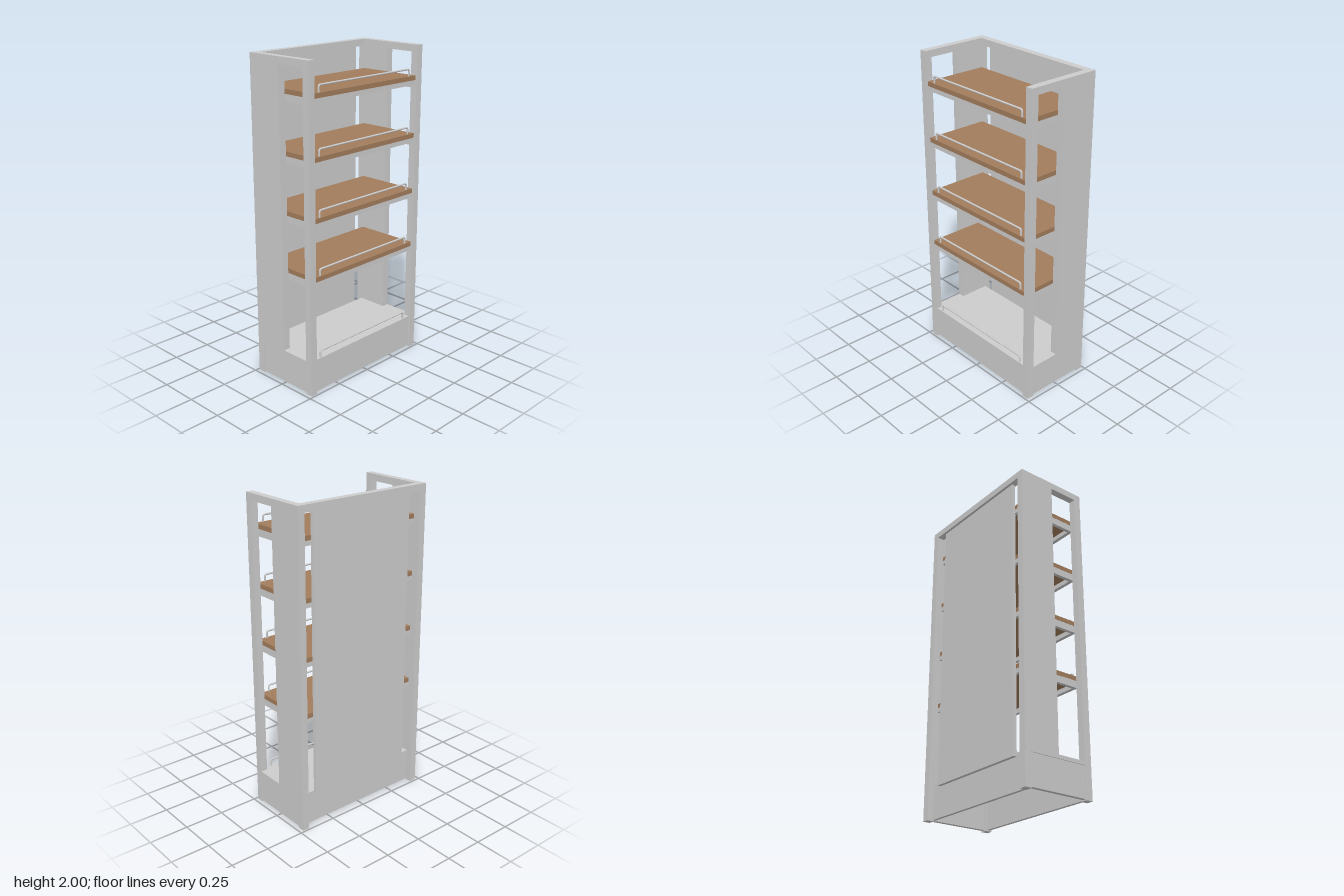
import * as THREE from 'three';

export function createModel() {
  const group = new THREE.Group();
  const grey = new THREE.MeshStandardMaterial({ color: 0xcccccc });
  const wood = new THREE.MeshStandardMaterial({ color: 0xa17c5c });

  // Box given by its minimum and maximum on each axis
  function box(name, [x0, x1], [y0, y1], [z0, z1], material = grey) {
    const mesh = new THREE.Mesh(new THREE.BoxGeometry(x1 - x0, y1 - y0, z1 - z0), material);
    mesh.position.set((x0 + x1) / 2, (y0 + y1) / 2, (z0 + z1) / 2);
    mesh.name = name;
    group.add(mesh);
  }

  const W = 0.475, IN = 0.43;   // outer and inner half width
  const D = 0.238, ID = 0.192;  // outer and inner half depth
  const H = 2, RAIL = 1.957;    // top and underside of the top rails
  const BASE = 0.197, FLOOR = 0.22;
  const FRONT = 0.227;          // front edge of the shelves

  // Side frames, mirrored
  for (const s of [-1, 1]) {
    const side = (a, b) => (s > 0 ? [a, b] : [-b, -a]);
    box('frontPost', side(IN, W), [0, H], [ID, D]);
    box('rearPost', side(IN, W), [0, H], [-D, -ID]);
    box('topSideRail', side(IN, W), [RAIL, H], [-ID, ID]);
    box('sidePanel', side(IN, W), [FLOOR, RAIL], [-ID, 0]);
    box('floorSideRail', side(IN, W), [BASE, FLOOR], [-ID, ID]);
    box('sidePlinth', side(0.445, 0.47), [0.007, BASE], [-ID, ID]);
  }

  // Back of the frame
  box('topBackRail', [-IN, IN], [RAIL, H], [-D, -ID]);
  box('backPanel', [-0.36, 0.36], [BASE, RAIL], [-0.222, -0.2]);

  // Hollow base, open underneath
  box('frontPlinth', [-IN, IN], [0.007, BASE], [0.204, 0.224]);
  box('backPlinth', [-IN, IN], [0.007, BASE], [-0.2, -0.18]);
  box('floorShelf', [-IN, IN], [BASE, FLOOR], [-0.2, FRONT]);

  // Guard rail: a tube path with rounded corners
  const railX = 0.379, railY = 0.042, r = 0.014;
  const v = (x, y) => new THREE.Vector3(x, y, 0);
  const path = new THREE.CurvePath();
  path.add(new THREE.LineCurve3(v(-railX, 0), v(-railX, railY - r)));
  path.add(new THREE.QuadraticBezierCurve3(v(-railX, railY - r), v(-railX, railY), v(-railX + r, railY)));
  path.add(new THREE.LineCurve3(v(-railX + r, railY), v(railX - r, railY)));
  path.add(new THREE.QuadraticBezierCurve3(v(railX - r, railY), v(railX, railY), v(railX, railY - r)));
  path.add(new THREE.LineCurve3(v(railX, railY - r), v(railX, 0)));
  const railGeometry = new THREE.TubeGeometry(path, 240, 0.006, 10);

  function guardRail(y) {
    const mesh = new THREE.Mesh(railGeometry, grey);
    mesh.name = 'guardRail';
    mesh.position.set(0, y, 0.217);
    group.add(mesh);
  }
  guardRail(FLOOR);

  // Wooden shelves, each on a grey support frame
  for (const top of [0.745, 1.102, 1.459, 1.816]) {
    const under = top - 0.028;
    box('shelf', [-IN, IN], [under, top], [-ID, FRONT], wood);
    box('shelfFrontRail', [-IN, IN], [top - 0.057, under], [0.202, 0.225]);
    box('shelfBackRail', [-IN, IN], [top - 0.057, under], [-ID, -0.172]);
    for (const s of [-1, 1]) {
      const x = s * 0.418;
      box('shelfBracket', [x - 0.011, x + 0.011], [top - 0.072, under], [-0.172, 0.202]);
    }
    guardRail(top);
  }

  return group;
}
